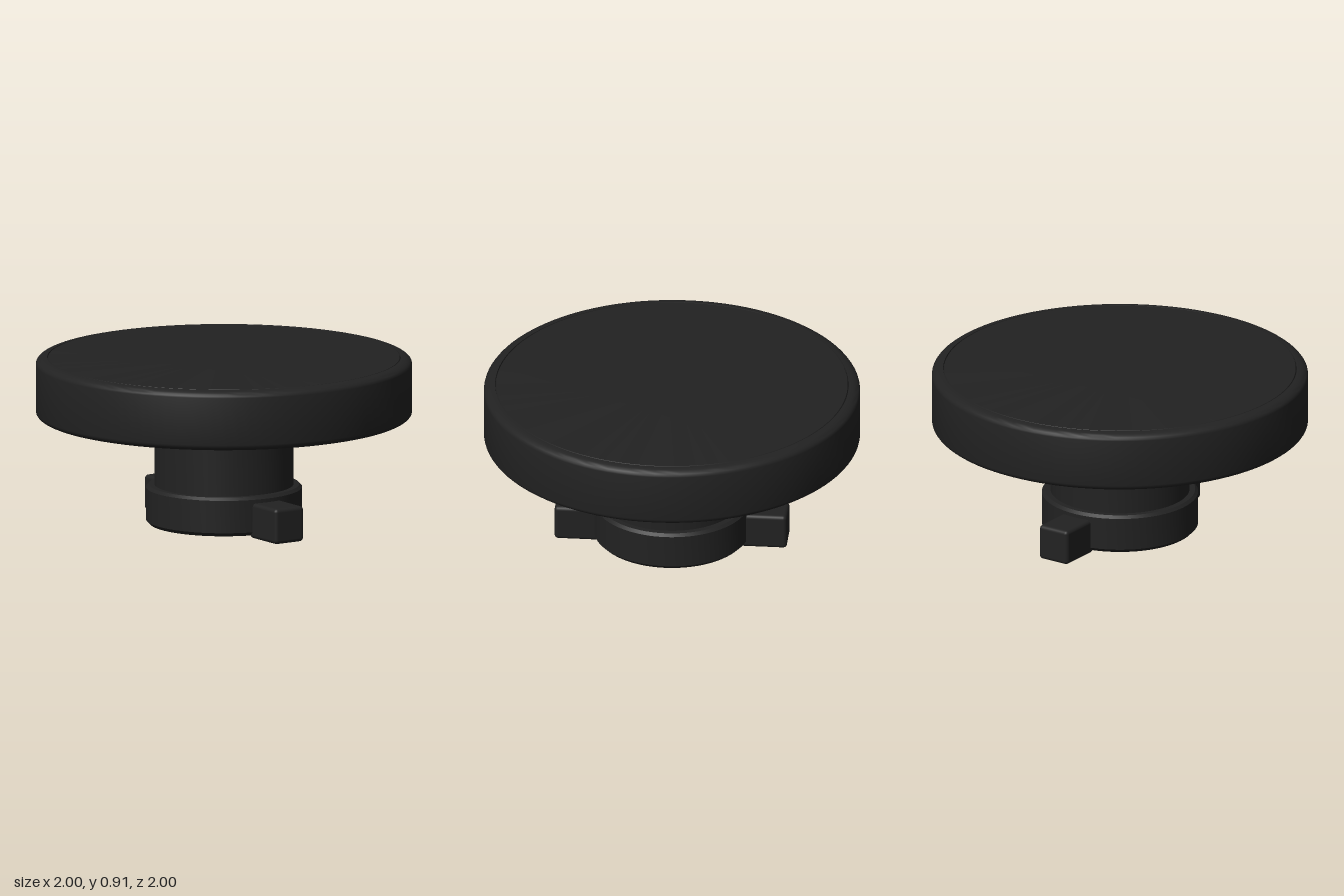
import * as THREE from 'three';
import { toCreasedNormals } from 'three/addons/utils/BufferGeometryUtils.js';
import { RoundedBoxGeometry } from 'three/addons/geometries/RoundedBoxGeometry.js';

export function createModel() {
  const group = new THREE.Group();
  const black = new THREE.MeshStandardMaterial({ color: 0x222222 });
  black.name = 'matte black';

  const add = (name, geometry) => {
    const mesh = new THREE.Mesh(geometry, black);
    mesh.name = name;
    group.add(mesh);
    return mesh;
  };

  // Turned part from [radius, height] pairs, with crisp edges kept
  const turned = (name, profile) => {
    const points = profile.map(([r, y]) => new THREE.Vector2(r, y));
    return add(name, toCreasedNormals(new THREE.LatheGeometry(points, 96), 0.55));
  };

  // Rounded corner as a quarter ellipse, from angle a0 to a1 in degrees
  const corner = (cx, cy, rx, ry, a0, a1) =>
    Array.from({ length: 7 }, (_, i) => {
      const a = THREE.MathUtils.degToRad(a0 + ((a1 - a0) * i) / 6);
      return [cx + rx * Math.cos(a), cy + ry * Math.sin(a)];
    });

  // Wide round head with softened rim and a fine groove around the top face
  turned('head', [
    [0.4, 0.585],
    ...corner(0.94, 0.62, 0.06, 0.035, -90, 0),
    ...corner(0.94, 0.875, 0.06, 0.035, 0, 90),
    [0.938, 0.902],
    [0.934, 0.91],
    [0, 0.91],
  ]);

  // Stem flaring into the underside of the head
  turned('stem', [
    [0.37, 0.2],
    [0.37, 0.49],
    [0.485, 0.59],
  ]);

  // Chamfered collar at the foot of the stem, with its bore
  turned('collar', [
    [0, 0.5],
    [0.23, 0.5],
    [0.23, 0.07],
    [0.235, 0.065],
    [0.235, 0.015],
    [0.395, 0.015],
    [0.415, 0.035],
    [0.415, 0.21],
    [0.4, 0.225],
    [0.365, 0.225],
  ]);

  // Locking lugs at front and back
  for (const side of [1, -1]) {
    const lug = add(side > 0 ? 'frontLug' : 'backLug', new RoundedBoxGeometry(0.185, 0.19, 0.25, 3, 0.02));
    lug.position.set(0, 0.095, side * 0.495);
  }

  return group;
}
